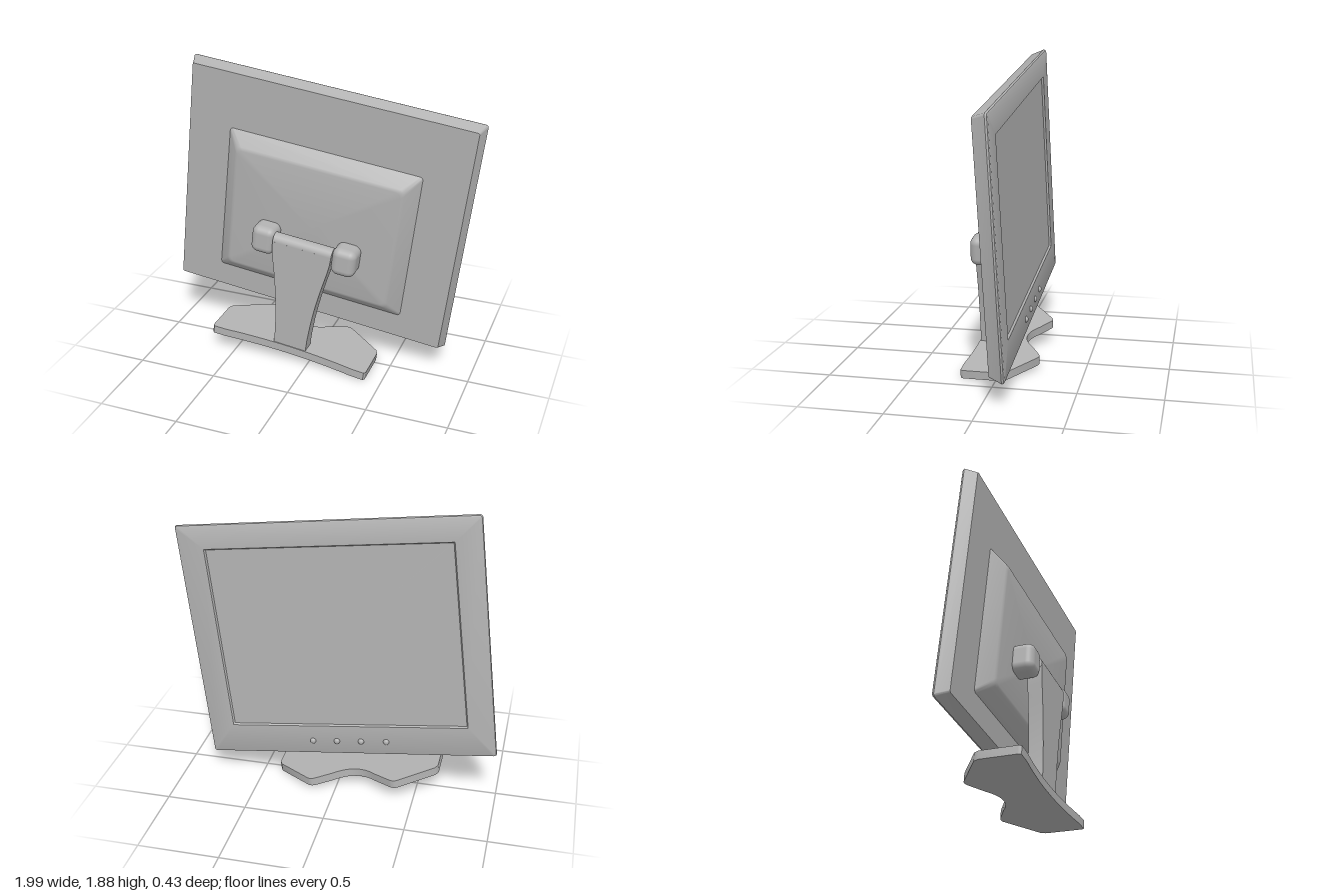
import * as THREE from 'three';
import { toCreasedNormals } from 'three/addons/utils/BufferGeometryUtils.js';
import { RoundedBoxGeometry } from 'three/addons/geometries/RoundedBoxGeometry.js';

// Rounded rectangle outline, counter-clockwise seen from +z
function ring([hw, hh, z, r, cy = 0]) {
  const pts = [];
  for (let c = 0; c < 4; c++) {
    const sx = c === 0 || c === 3 ? 1 : -1, sy = c < 2 ? 1 : -1;
    for (let k = 0; k <= 4; k++) {
      const a = (c + k / 4) * Math.PI / 2;
      pts.push([sx * (hw - r) + r * Math.cos(a), cy + sy * (hh - r) + r * Math.sin(a), z]);
    }
  }
  return pts;
}

// Skin through outlines running from +z to -z, capped at both ends
function loft(specs) {
  const rings = specs.map(ring), pos = [], n = rings[0].length;
  const tri = (...p) => p.forEach(v => pos.push(...v));
  const middle = s => [0, s[4] || 0, s[2]];
  const first = rings[0], last = rings[rings.length - 1];
  for (let i = 0; i < n; i++) {
    const j = (i + 1) % n;
    tri(first[i], first[j], middle(specs[0]));
    tri(last[j], last[i], middle(specs[specs.length - 1]));
    for (let k = 0; k + 1 < rings.length; k++) {
      const a = rings[k], b = rings[k + 1];
      tri(a[i], b[i], b[j]);
      tri(a[i], b[j], a[j]);
    }
  }
  const g = new THREE.BufferGeometry();
  g.setAttribute('position', new THREE.Float32BufferAttribute(pos, 3));
  return toCreasedNormals(g, 0.6);
}

export function createModel() {
  const model = new THREE.Group();
  const grey = new THREE.MeshStandardMaterial({ color: 0xb2b2b2 });
  grey.name = 'grey plastic';

  const add = (parent, name, geometry, x = 0, y = 0, z = 0) => {
    const m = new THREE.Mesh(geometry, grey);
    m.name = name;
    m.position.set(x, y, z);
    parent.add(m);
    return m;
  };

  // Whole monitor is rolled sideways
  const monitor = new THREE.Group();
  monitor.name = 'monitor';
  monitor.position.set(-0.115, 0.115, 0);
  monitor.rotation.z = -0.121;
  model.add(monitor);

  // Display panel, leaning slightly; the screen faces -z
  const panel = new THREE.Group();
  panel.name = 'displayPanel';
  panel.position.set(0.006, 0.903, -0.069);
  panel.rotation.x = 0.032;
  monitor.add(panel);

  add(panel, 'housingAndScreen', loft([
    [0.884, 0.739, 0.047, 0.012],
    [0.908, 0.763, -0.022, 0.014],
    [0.912, 0.766, -0.030, 0.016],
    [0.908, 0.762, -0.041, 0.015],
    [0.900, 0.754, -0.046, 0.012],
    [0.750, 0.592, -0.046, 0.004, 0.022],
    [0.742, 0.584, -0.034, 0.003, 0.022],
  ]));

  // Raised back cover
  add(panel, 'backCover', loft([
    [0.515, 0.390, 0.132, 0.03, -0.1],
    [0.528, 0.402, 0.129, 0.035, -0.1],
    [0.538, 0.412, 0.122, 0.035, -0.1],
    [0.605, 0.478, 0.055, 0.02, -0.1],
    [0.615, 0.488, 0.044, 0.02, -0.1],
  ]));

  // Control buttons under the screen
  for (const x of [0.235, 0.08, -0.075, -0.235]) {
    const b = add(panel, 'button', new THREE.SphereGeometry(0.019, 16, 10), x, -0.675, -0.046);
    b.scale.z = 0.8;
  }

  // Flared neck with a rounded top
  const half = [[0.107, -0.02], [0.109, 0.08], [0.117, 0.2], [0.129, 0.31],
    [0.144, 0.41], [0.160, 0.5], [0.176, 0.58], [0.187, 0.65], [0.19, 0.707]];
  const outline = [...half, ...half.map(([x, y]) => [-x, y]).reverse()];
  const neckShape = new THREE.Shape(outline.map(p => new THREE.Vector2(...p)));
  add(monitor, 'neck', toCreasedNormals(
    new THREE.ExtrudeGeometry(neckShape, { depth: 0.09, bevelEnabled: false }), 0.5), 0, 0, 0.09);
  add(monitor, 'neckTop', new THREE.CylinderGeometry(0.045, 0.045, 0.38, 24).rotateZ(Math.PI / 2), 0, 0.706, 0.135);

  // Hinge blocks either side of the neck
  for (const s of [-1, 1]) {
    add(monitor, 'hingeBlock', new RoundedBoxGeometry(0.152, 0.178, 0.155, 4, 0.045), s * 0.262, 0.682, 0.101);
  }

  // Foot plate: hollowed front edge, two lobes at the rear
  const foot = new THREE.Shape();
  foot.moveTo(-0.51, -0.215);
  foot.lineTo(-0.43, -0.213);
  foot.quadraticCurveTo(0, -0.157, 0.43, -0.213);
  foot.lineTo(0.51, -0.215);
  foot.lineTo(0.52, -0.2);
  foot.lineTo(0.52, 0.03);
  foot.lineTo(0.505, 0.06);
  foot.lineTo(0.29, 0.213);
  foot.quadraticCurveTo(0.265, 0.228, 0.235, 0.21);
  foot.lineTo(0.135, 0.15);
  foot.quadraticCurveTo(0, 0.045, -0.135, 0.15);
  foot.lineTo(-0.235, 0.21);
  foot.quadraticCurveTo(-0.265, 0.228, -0.29, 0.213);
  foot.lineTo(-0.505, 0.06);
  foot.lineTo(-0.52, 0.03);
  foot.lineTo(-0.52, -0.2);
  foot.closePath();
  const footGeometry = new THREE.ExtrudeGeometry(foot, { depth: 0.052, bevelEnabled: false, curveSegments: 14 });
  add(monitor, 'foot', toCreasedNormals(footGeometry.rotateX(-Math.PI / 2), 0.5), 0, -0.052, 0);

  return model;
}
